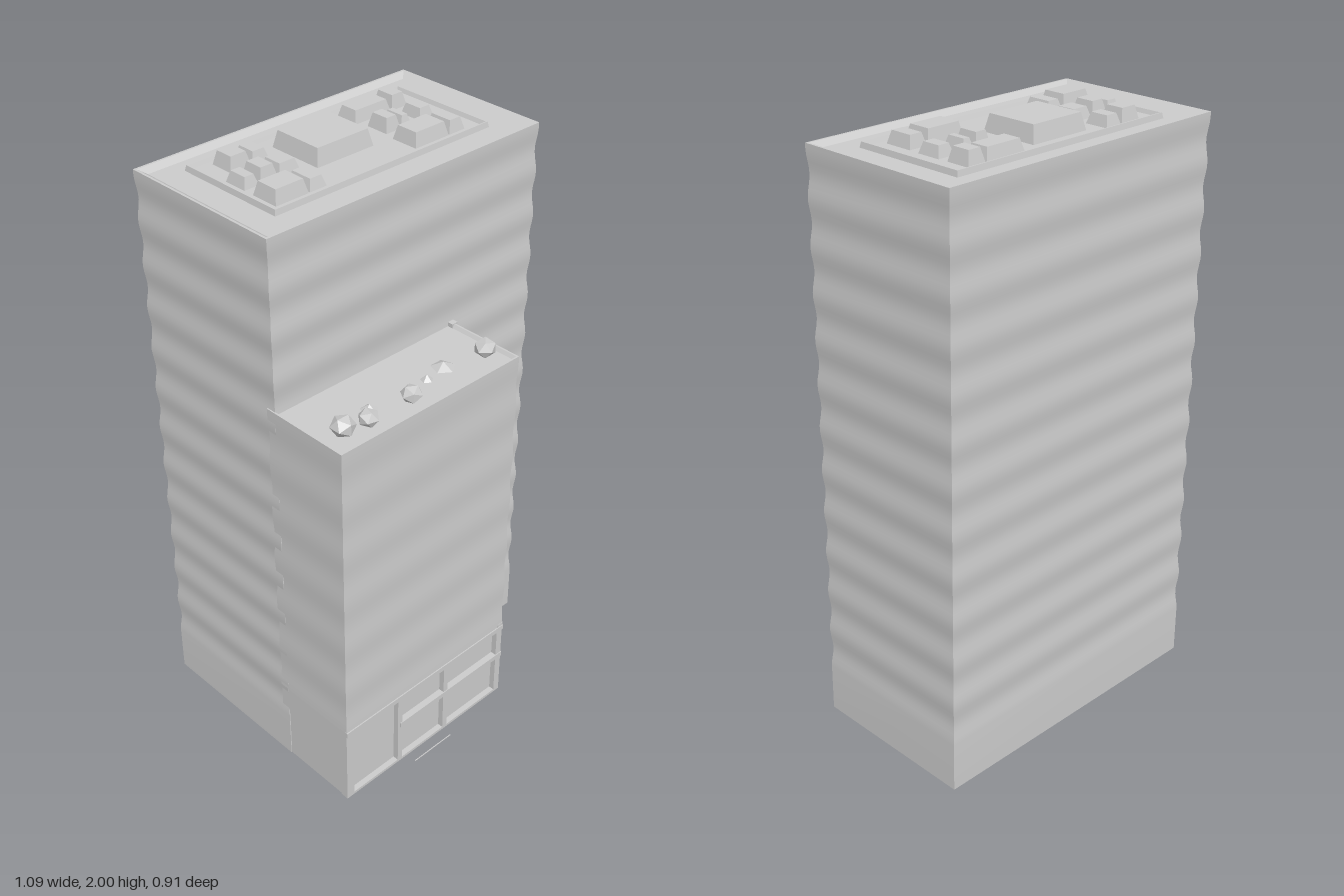
import * as THREE from 'three';
import { toCreasedNormals } from 'three/addons/utils/BufferGeometryUtils.js';

const material = new THREE.MeshStandardMaterial({ color: 0xcccccc });

// Capped loft of rectangular rings; each ring is [y, inset from the given rectangle]
function loft([x0, x1, z0, z1], rings) {
  const pos = [];
  const ring = ([y, d]) => [
    [x0 + d, y, z1 - d], [x1 - d, y, z1 - d], [x1 - d, y, z0 + d], [x0 + d, y, z0 + d],
  ];
  const quad = (a, b, c, d) => pos.push(...a, ...b, ...c, ...a, ...c, ...d);
  const loops = rings.map(ring);
  for (let i = 0; i + 1 < loops.length; i++) {
    const a = loops[i], b = loops[i + 1];
    for (let k = 0; k < 4; k++) quad(a[k], a[(k + 1) % 4], b[(k + 1) % 4], b[k]);
  }
  quad(...[...loops[0]].reverse());
  quad(...loops[loops.length - 1]);
  const g = new THREE.BufferGeometry();
  g.setAttribute('position', new THREE.Float32BufferAttribute(pos, 3));
  return toCreasedNormals(g, 0.4);
}

// Gently rippling wall rings between two heights
function ripple(y0, y1, amount, period) {
  const out = [], n = Math.round((y1 - y0) / 0.02);
  for (let i = 0; i <= n; i++) {
    const y = y0 + ((y1 - y0) * i) / n;
    out.push([y, amount * (0.5 - 0.5 * Math.cos((2 * Math.PI * (y - y0)) / period))]);
  }
  return out;
}

export function createModel() {
  const model = new THREE.Group();
  const add = (name, geometry, parent = model) => {
    const mesh = new THREE.Mesh(geometry, material);
    mesh.name = name;
    parent.add(mesh);
    return mesh;
  };
  const box = (name, x0, x1, y0, y1, z0, z1, parent) => {
    const m = add(name, new THREE.BoxGeometry(x1 - x0, y1 - y0, z1 - z0), parent);
    m.position.set((x0 + x1) / 2, (y0 + y1) / 2, (z0 + z1) / 2);
  };
  const group = (name) => {
    const g = new THREE.Group();
    g.name = name;
    model.add(g);
    return g;
  };

  // Main tower with bevelled parapet and sunken roof deck
  add('tower', loft([-0.545, 0.545, -0.455, 0.135], [
    [0, 0], ...ripple(0.17, 1.94, 0.006, 0.1475), [1.955, 0], [1.955, 0.008], [1.94, 0.03],
  ]));
  add('roofCurb', loft([-0.425, 0.435, -0.37, 0.03], [
    [1.938, 0], [1.958, 0.004], [1.958, 0.008], [1.945, 0.014],
  ]));

  // Rooftop plant: tapered housings, [x0, x1, z0, z1, top]
  const plant = group('roofPlant');
  const rows = [[-0.34, -0.255], [-0.225, -0.14], [-0.105, -0.005]];
  const units = [
    [0, -0.348, -0.268, 1.99], [0, -0.266, -0.2, 1.98],
    [1, -0.392, -0.335, 1.98], [1, -0.333, -0.265, 1.99], [1, -0.263, -0.182, 1.98],
    [2, -0.392, -0.268, 1.99], [2, -0.266, -0.2, 1.98],
    [0, 0.143, 0.295, 1.985], [0, 0.297, 0.365, 1.99],
    [1, 0.163, 0.225, 1.99], [1, 0.227, 0.272, 1.98], [1, 0.305, 0.368, 1.98],
    [2, 0.153, 0.295, 1.99], [2, 0.297, 0.365, 1.985],
  ];
  for (const [r, x0, x1, top] of units)
    add('roofUnit', loft([x0, x1, ...rows[r]], [[1.94, 0], [top, 0.012]]), plant);
  add('liftHousing', loft([-0.145, 0.08, -0.31, -0.108], [[1.94, 0], [2, 0.013]]), plant);

  // Lower wing above the entrance storeys, with a shallow parapet
  add('wing', loft([-0.545, 0.185, 0.1, 0.415], [
    ...ripple(0.3, 1.38, 0.003, 0.18), [1.397, 0], [1.397, 0.006], [1.386, 0.014],
  ]));
  box('wingCornerPost', 0.17, 0.193, 0, 1.4, 0.13, 0.15);

  // Recessed entrance storeys framed by posts and rails
  box('entranceWall', -0.542, 0.168, 0, 0.305, 0.1, 0.395);
  const frame = group('entranceFrame');
  for (const [x0, x1] of [[-0.545, -0.515], [-0.315, -0.295], [-0.1, -0.08], [0.16, 0.185]])
    box('frontPost', x0, x1, 0, 0.3, 0.385, 0.415, frame);
  box('frontTopRail', -0.545, 0.187, 0.287, 0.305, 0.385, 0.419, frame);
  box('frontMiddleRail', -0.305, 0.187, 0.16, 0.178, 0.385, 0.418, frame);
  box('sideTopRail', 0.16, 0.187, 0.3, 0.316, 0.13, 0.416, frame);
  box('sideMiddleRail', 0.16, 0.185, 0.16, 0.176, 0.13, 0.415, frame);
  box('sidePost', 0.16, 0.185, 0, 0.3, 0.135, 0.17, frame);
  box('sill', -0.545, 0.185, 0, 0.01, 0.385, 0.415, frame);
  box('kerbLine', -0.27, -0.1, 0, 0.002, 0.452, 0.455);

  // Terrace planting: faceted shrubs and low mounds
  const terrace = group('terracePlanting');
  const shrubs = [[-0.46, 0.33, 0.04], [-0.38, 0.35, 0.034], [-0.207, 0.348, 0.035], [0.13, 0.325, 0.037]];
  shrubs.forEach(([x, z, r], i) => {
    const g = new THREE.IcosahedronGeometry(r, 0);
    g.scale(1, 0.85, 1);
    const m = add('shrub', g, terrace);
    m.position.set(x, 1.412, z);
    m.rotation.y = i * 1.3;
  });
  for (const [x, z, r] of [[-0.325, 0.295, 0.03], [-0.095, 0.3, 0.022], [-0.01, 0.285, 0.042]]) {
    const m = add('mound', toCreasedNormals(new THREE.ConeGeometry(r, 0.02, 5), 0.1), terrace);
    m.position.set(x, 1.395, z);
  }
  return model;
}
